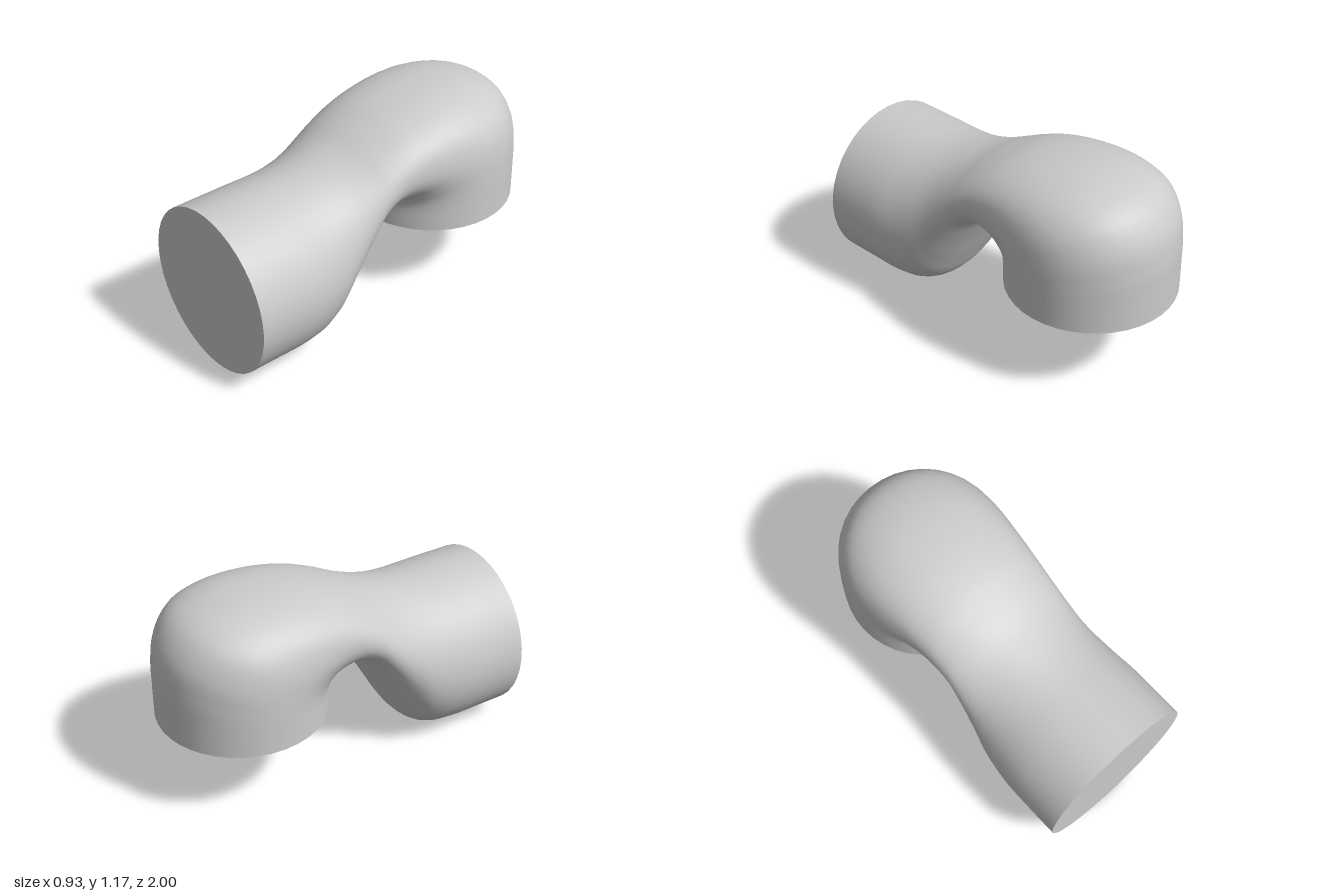
import * as THREE from 'three';

const SIDES = 40, STEPS = 72;

// Cross-sections along the pipe: top z, top y, bottom z, bottom y, half width, squareness
const SECTIONS = [
  [1, 0.935, 1, 0, 0.465, 2],
  [0.85, 0.935, 0.82, 0, 0.465, 2],
  [0.68, 0.935, 0.64, 0, 0.463, 2],
  [0.53, 0.938, 0.53, 0.015, 0.45, 2],
  [0.41, 0.95, 0.44, 0.075, 0.435, 2],
  [0.3, 0.972, 0.35, 0.22, 0.415, 2],
  [0.18, 1.007, 0.25, 0.41, 0.4, 2.05],
  [0.04, 1.068, 0.15, 0.58, 0.39, 2.1],
  [-0.13, 1.128, 0.075, 0.65, 0.395, 2.2],
  [-0.38, 1.168, 0, 0.67, 0.415, 2.3],
  [-0.65, 1.163, -0.04, 0.658, 0.44, 2.25],
  [-0.86, 1.095, -0.06, 0.63, 0.458, 2.15],
  [-0.965, 0.96, -0.065, 0.6, 0.464, 2.05],
  [-0.997, 0.8, -0.065, 0.565, 0.465, 2],
  [-1, 0.64, -0.065, 0.52, 0.465, 2],
  [-1, 0.475, -0.065, 0.475, 0.465, 2],
];

const spline = (pick) =>
  new THREE.CatmullRomCurve3(SECTIONS.map((s) => new THREE.Vector3(...pick(s))));
const topLine = spline((s) => [s[4], s[1], s[0]]);
const bottomLine = spline((s) => [s[5] - 2, s[3], s[2]]);

// One closed ring spanning the top and bottom lines
function ring(t) {
  const top = topLine.getPoint(t), bottom = bottomLine.getPoint(t);
  const power = 2 / (bottom.x + 2);
  const bend = (v) => Math.sign(v) * Math.abs(v) ** power;
  return Array.from({ length: SIDES }, (_, j) => {
    const a = (j / SIDES) * Math.PI * 2;
    const f = (1 + bend(Math.sin(a))) / 2;
    return new THREE.Vector3(
      top.x * bend(Math.cos(a)),
      THREE.MathUtils.lerp(bottom.y, top.y, f),
      THREE.MathUtils.lerp(bottom.z, top.z, f)
    );
  });
}

function geometryFrom(points, index) {
  const g = new THREE.BufferGeometry().setFromPoints(points);
  g.setIndex(index);
  g.computeVertexNormals();
  return g;
}

// Smooth skin through all the rings
function skin() {
  const points = [], index = [];
  for (let i = 0; i <= STEPS; i++) points.push(...ring(i / STEPS));
  for (let i = 0; i < STEPS; i++) {
    for (let j = 0; j < SIDES; j++) {
      const k = (j + 1) % SIDES;
      const a = i * SIDES + j, b = a + SIDES, c = i * SIDES + k, d = c + SIDES;
      index.push(a, b, c, c, b, d);
    }
  }
  return geometryFrom(points, index);
}

// Flat disc closing one end
function cap(t, flip) {
  const points = ring(t), index = [];
  for (let j = 1; j < SIDES - 1; j++) index.push(0, ...(flip ? [j + 1, j] : [j, j + 1]));
  return geometryFrom(points, index);
}

export function createModel() {
  const group = new THREE.Group();
  group.name = 'bentPipe';
  const material = new THREE.MeshStandardMaterial({ color: 0xcccccc });
  const add = (name, geometry) => {
    const mesh = new THREE.Mesh(geometry, material);
    mesh.name = name;
    group.add(mesh);
  };
  add('pipeBody', skin());
  add('frontCap', cap(0, false));
  add('undersideCap', cap(1, true));
  return group;
}
